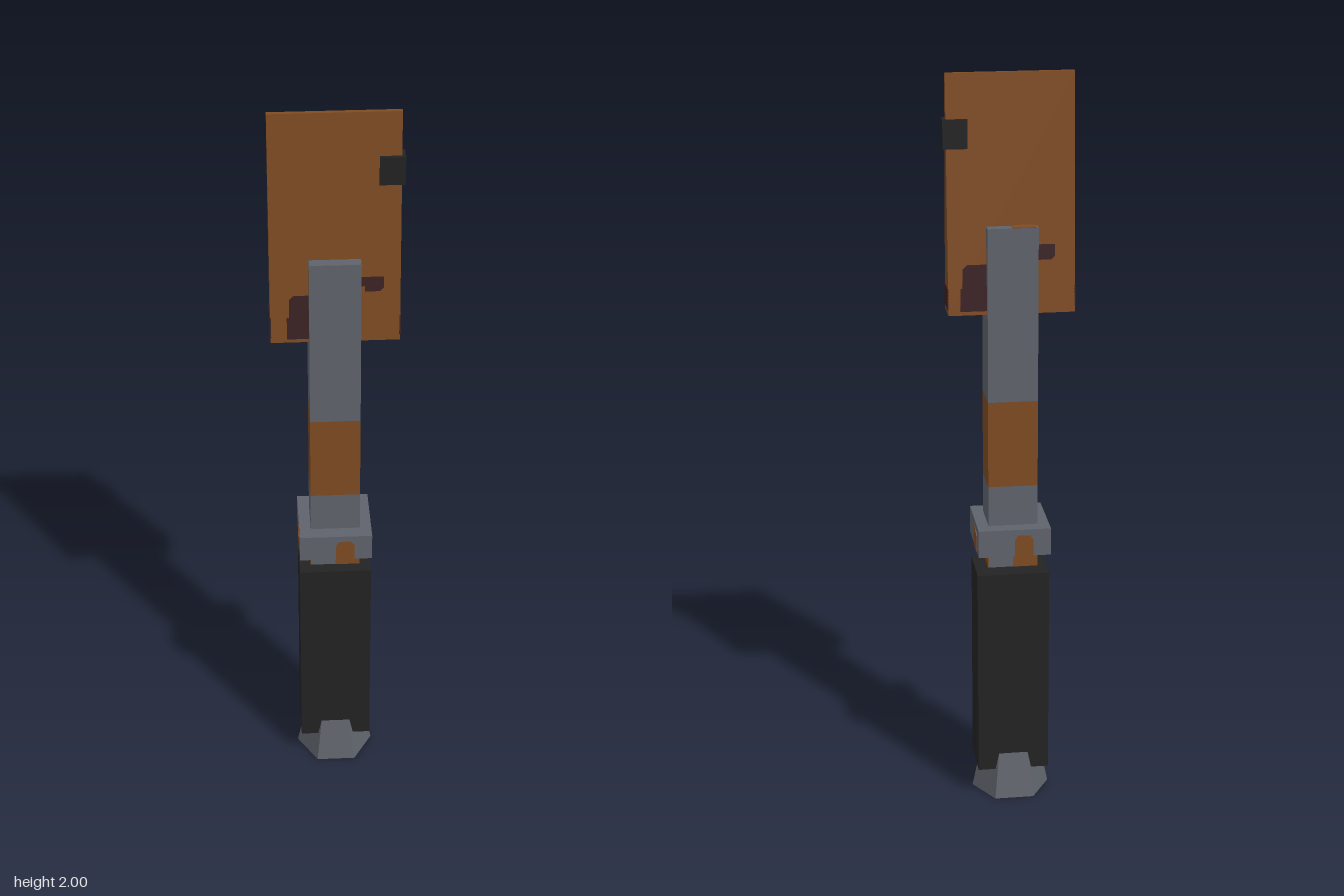
import * as THREE from 'three';

const mat = (name, color) => {
  const m = new THREE.MeshStandardMaterial({ color });
  m.name = name;
  return m;
};

export function createModel() {
  const root = new THREE.Group();
  const steel = mat('grey steel', 0x5f636b);
  const rust = mat('rust brown', 0x7f4b22);
  const stain = mat('dark stain', 0x3a2124);
  const black = mat('black', 0x232323);
  const CX = -0.006; // centre line of the handle

  const add = (parent, name, geometry, material, x = 0, y = 0, z = 0) => {
    const mesh = new THREE.Mesh(geometry, material);
    mesh.name = name;
    mesh.position.set(x, y, z);
    parent.add(mesh);
    return mesh;
  };
  // Box given by its size in x and z and its bottom and top heights
  const block = (parent, name, w, d, y0, y1, material, x = 0, z = 0) =>
    add(parent, name, new THREE.BoxGeometry(w, y1 - y0, d), material, x, (y0 + y1) / 2, z);
  const plate = (points, depth) => new THREE.ExtrudeGeometry(
    new THREE.Shape(points.map(p => new THREE.Vector2(...p))), { depth, bevelEnabled: false });

  // Wedge-shaped blade, thick at the bottom and thin at the top
  const y0 = 1.38, y1 = 2, zBottom = 0.042, zTop = 0.006;
  const halfAt = y => zBottom + (zTop - zBottom) * (y - y0) / (y1 - y0);
  const slab = (a, b, length) => plate(
    [[-halfAt(a), a], [halfAt(a), a], [halfAt(b), b], [-halfAt(b), b]], length).rotateY(Math.PI / 2);
  add(root, 'blade', slab(y0, y1, 0.33), rust, -0.17);
  for (const x of [-0.172, 0.158]) add(root, 'bladeEdgeStain', slab(1.395, 1.45, 0.004), stain, x);

  // Stains on both faces of the blade, repeated by a half turn
  const lowStain = [[-0.128, 0.01], [-0.06, 0.01], [-0.06, 0.132], [-0.11, 0.132],
    [-0.122, 0.12], [-0.122, 0.07], [-0.128, 0.07]];
  const highStain = [[0.05, 0.155], [0.07, 0.155], [0.07, 0.14], [0.108, 0.14],
    [0.118, 0.15], [0.118, 0.18], [0.05, 0.18]];
  for (const turn of [0, Math.PI]) {
    const face = new THREE.Group();
    face.name = 'bladeFaceStains';
    face.rotation.y = turn;
    root.add(face);
    for (const points of [lowStain, highStain]) {
      const mesh = add(face, 'stain', plate(points, 0.003), stain, 0, y0, zBottom - 0.001);
      mesh.rotation.x = -Math.atan((zBottom - zTop) / (y1 - y0));
    }
  }

  // Clip on the blade's edge
  block(root, 'bladeClip', 0.064, 0.044, 1.81, 1.885, black, 0.137);

  // Square shaft with a rusty band
  const handle = new THREE.Group();
  handle.name = 'handle';
  handle.position.x = CX;
  root.add(handle);
  const shaftWidth = 0.132, shaftDepth = 0.116;
  block(handle, 'lowerShaft', shaftWidth, shaftDepth, 0.68, 0.91, steel);
  block(handle, 'rustBand', shaftWidth, shaftDepth, 0.91, 1.145, rust);
  block(handle, 'upperShaft', shaftWidth, shaftDepth, 1.145, 1.61, steel);
  block(handle, 'shaftTopRust', 0.062, 0.03, 1.608, 1.612, rust, -0.03, -0.043);

  // Collar, with rust spots on its four sides and on the shaft end below it
  block(handle, 'collar', 0.194, 0.194, 0.725, 0.8, steel);
  const spot = [[0, 0.725], [0.05, 0.725], [0.05, 0.77], [0.04, 0.784], [0.01, 0.784], [0, 0.77]];
  for (let i = 0; i < 4; i++) {
    const side = new THREE.Group();
    side.name = 'collarSide';
    side.rotation.y = i * Math.PI / 2;
    handle.add(side);
    const out = (i % 2 ? shaftWidth : shaftDepth) / 2;
    const half = (i % 2 ? shaftDepth : shaftWidth) / 2;
    add(side, 'collarRust', plate(spot, 0.003), rust, 0, 0, 0.0955);
    block(side, 'shaftEndRust', half, 0.003, 0.68, 0.725, rust, half / 2, out);
  }

  // Grip
  block(handle, 'grip', 0.194, 0.138, 0.08, 0.662, black);

  // Flared six-sided pommel
  const pommel = new THREE.CylinderGeometry(0.079, 0.106, 0.13, 6, 1, false, Math.PI / 6).toNonIndexed();
  pommel.computeVertexNormals();
  add(handle, 'pommel', pommel, steel, 0, 0.065);
  add(handle, 'pommelRust', new THREE.CylinderGeometry(0.02, 0.02, 0.002, 6), rust, -0.03, 0.0005, -0.03);

  return root;
}
